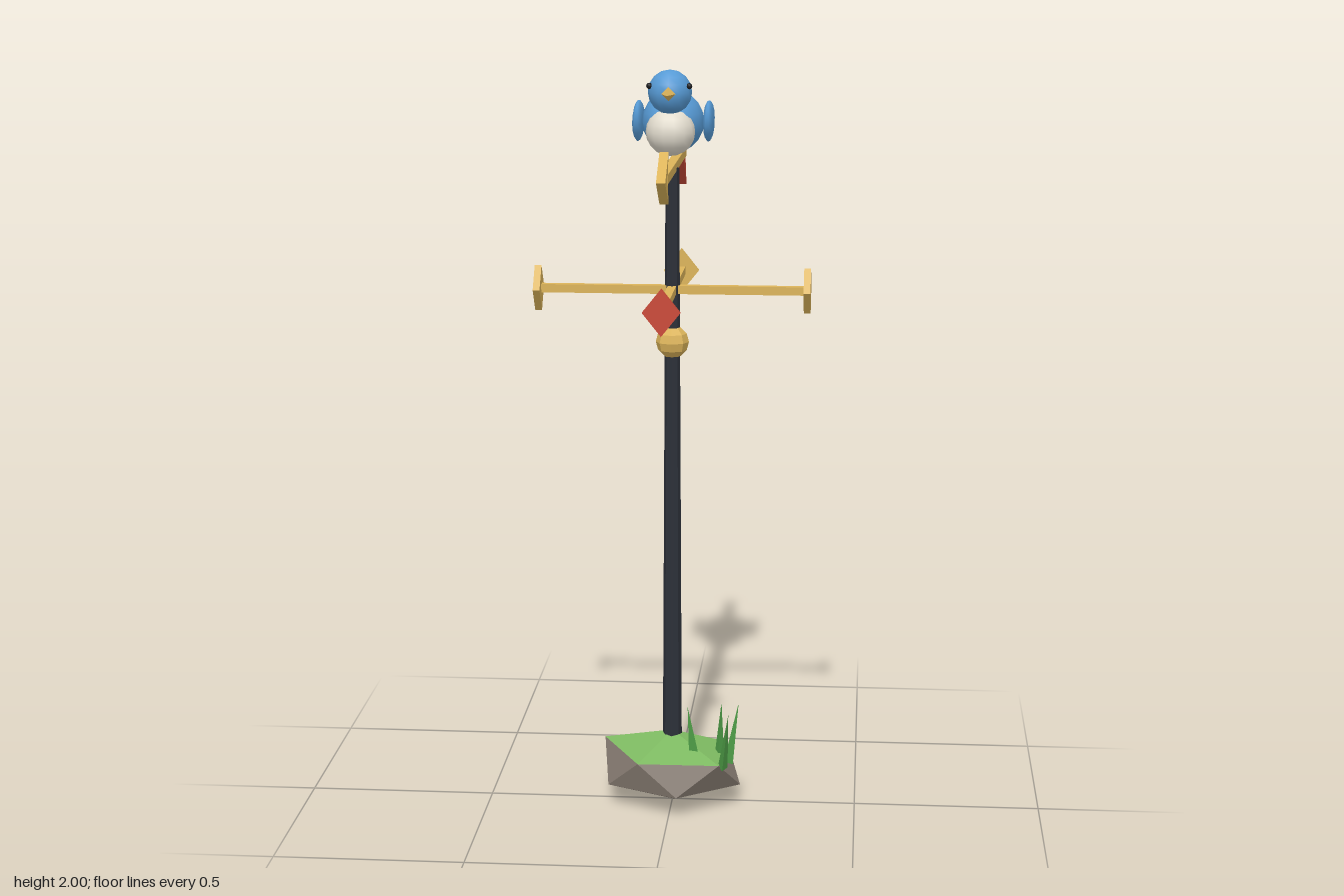
import * as THREE from 'three';

const GOLD = 0xdcb45a, RED = 0xcb4a38, BLUE = 0x579bd6, IRON = 0x2c3039;
const GREEN = 0x7cb860, ROCK = 0x857a70, BLADE = 0x4c9a45;

export function createModel() {
  const model = new THREE.Group();

  const add = (parent, name, geometry, color, pos = [0, 0, 0], flat = true) => {
    const mat = new THREE.MeshStandardMaterial({ color, flatShading: flat });
    const mesh = new THREE.Mesh(geometry, mat);
    mesh.name = name;
    mesh.position.set(...pos);
    parent.add(mesh);
    return mesh;
  };
  const group = (name) => {
    const g = new THREE.Group();
    g.name = name;
    model.add(g);
    return g;
  };
  const ellipsoid = (rx, ry, rz, w = 14, h = 10) => new THREE.SphereGeometry(1, w, h).scale(rx, ry, rz);
  // Plate outlined in (z, y) and given a thickness along x
  const sidePlate = (points, thickness) => {
    const shape = new THREE.Shape(points.map(([z, y]) => new THREE.Vector2(-z, y)));
    return new THREE.ExtrudeGeometry(shape, { depth: thickness, bevelEnabled: false })
      .translate(0, 0, -thickness / 2).rotateY(Math.PI / 2);
  };

  // Boulder: two staggered rings of five corners closed by two apexes
  const base = group('base');
  const upper = [[0.135, 0.145, 0.129], [-0.084, 0.145, 0.132], [-0.188, 0.162, -0.036],
    [-0.05, 0.15, -0.125], [0.148, 0.148, -0.058]];
  const lower = [[0.188, 0.06, 0.037], [0.022, 0.06, 0.158], [-0.17, 0.06, 0.066],
    [-0.127, 0.06, -0.12], [0.085, 0.06, -0.138]];
  const top = [0, 0.2, 0], bottom = [0, 0, 0];
  const grassFaces = [], rockFaces = [];
  for (let i = 0; i < 5; i++) {
    const j = (i + 1) % 5;
    grassFaces.push(top, upper[j], upper[i]);
    rockFaces.push(upper[i], lower[j], lower[i], bottom, lower[i], lower[j]);
    // Grass spills over one flank at the back
    (i === 3 ? grassFaces : rockFaces).push(lower[j], upper[i], upper[j]);
  }
  const facets = (corners) => {
    const g = new THREE.BufferGeometry();
    g.setAttribute('position', new THREE.Float32BufferAttribute(corners.flat(), 3));
    g.computeVertexNormals();
    return g;
  };
  add(base, 'rock', facets(rockFaces), ROCK);
  add(base, 'grassTop', facets(grassFaces), GREEN);

  // Grass blades: leaning three-sided spikes from root to tip
  const blades = [
    [[0.145, 0.135, 0.118], [0.162, 0.3, 0.16]],
    [[0.158, 0.135, 0.07], [0.185, 0.305, 0.072]],
    [[0.13, 0.14, 0.032], [0.135, 0.285, 0.01]],
    [[0.065, 0.16, 0.07], [0.047, 0.29, 0.072]],
  ];
  blades.forEach(([root, tip], i) => {
    const a = new THREE.Vector3(...root), dir = new THREE.Vector3(...tip).sub(a);
    const len = dir.length();
    const cone = new THREE.ConeGeometry(0.015, len, 3).translate(0, len / 2, 0).rotateY(i);
    add(base, 'grassBlade', cone, BLADE, root).quaternion
      .setFromUnitVectors(new THREE.Vector3(0, 1, 0), dir.normalize());
  });

  // Pole and ball
  add(model, 'pole', new THREE.CylinderGeometry(0.018, 0.026, 1.59, 8), IRON, [0, 0.945, 0]);
  add(model, 'ball', new THREE.SphereGeometry(0.044, 8, 6), GOLD, [0, 1.28, 0]);

  // Cross arms with diamond end plates
  const arms = group('directionArms');
  arms.position.y = 1.42;
  add(arms, 'sideArm', new THREE.BoxGeometry(0.71, 0.022, 0.022), GOLD);
  add(arms, 'frontBackArm', new THREE.BoxGeometry(0.022, 0.022, 0.695), GOLD, [0, 0, 0.0025]);
  const diamond = () => sidePlate([[0.048, 0], [0, 0.06], [-0.048, 0], [0, -0.06]], 0.018);
  for (const s of [-1, 1]) add(arms, 'sidePlate', diamond(), GOLD, [s * 0.355, 0, 0]);
  add(arms, 'frontPlate', diamond().rotateY(Math.PI / 2), RED, [0, 0, 0.355]);
  add(arms, 'backPlate', diamond().rotateY(Math.PI / 2), GOLD, [0, 0, -0.32]);

  // Wind arrow
  const arrow = group('arrow');
  arrow.position.y = 1.745;
  add(arrow, 'arrowShaft', new THREE.BoxGeometry(0.024, 0.024, 0.64), GOLD, [0, 0, -0.01]);
  add(arrow, 'arrowHead', sidePlate([[0.37, 0], [0.265, 0.066], [0.296, 0], [0.265, -0.066]], 0.023), GOLD);
  add(arrow, 'arrowTail', sidePlate([[-0.25, 0], [-0.367, 0.094], [-0.322, 0], [-0.367, -0.094]], 0.02), RED);

  // Bird
  const bird = group('bird');
  add(bird, 'body', ellipsoid(0.081, 0.082, 0.13), BLUE, [0, 1.858, -0.025], false);
  add(bird, 'belly', ellipsoid(0.064, 0.062, 0.062), 0xe3ddcf, [0, 1.84, 0.064], false);
  add(bird, 'head', ellipsoid(0.057, 0.057, 0.057, 12, 8), BLUE, [0, 1.943, 0.078], false);
  add(bird, 'beak', new THREE.ConeGeometry(0.021, 0.065, 4).rotateX(Math.PI / 2), GOLD, [0, 1.942, 0.154]);
  add(bird, 'tail', sidePlate([[-0.14, 1.873], [-0.275, 1.94], [-0.287, 1.885], [-0.25, 1.833], [-0.14, 1.858]], 0.029), BLUE);
  for (const s of [-1, 1]) {
    const wing = add(bird, 'wing', ellipsoid(0.015, 0.052, 0.088, 10, 8), BLUE, [s * 0.092, 1.858, -0.043], false);
    wing.rotation.x = 0.08;
    add(bird, 'eye', ellipsoid(0.008, 0.008, 0.008, 8, 6), 0x1a1a1c, [s * 0.051, 1.96, 0.102], false);
  }
  return model;
}
